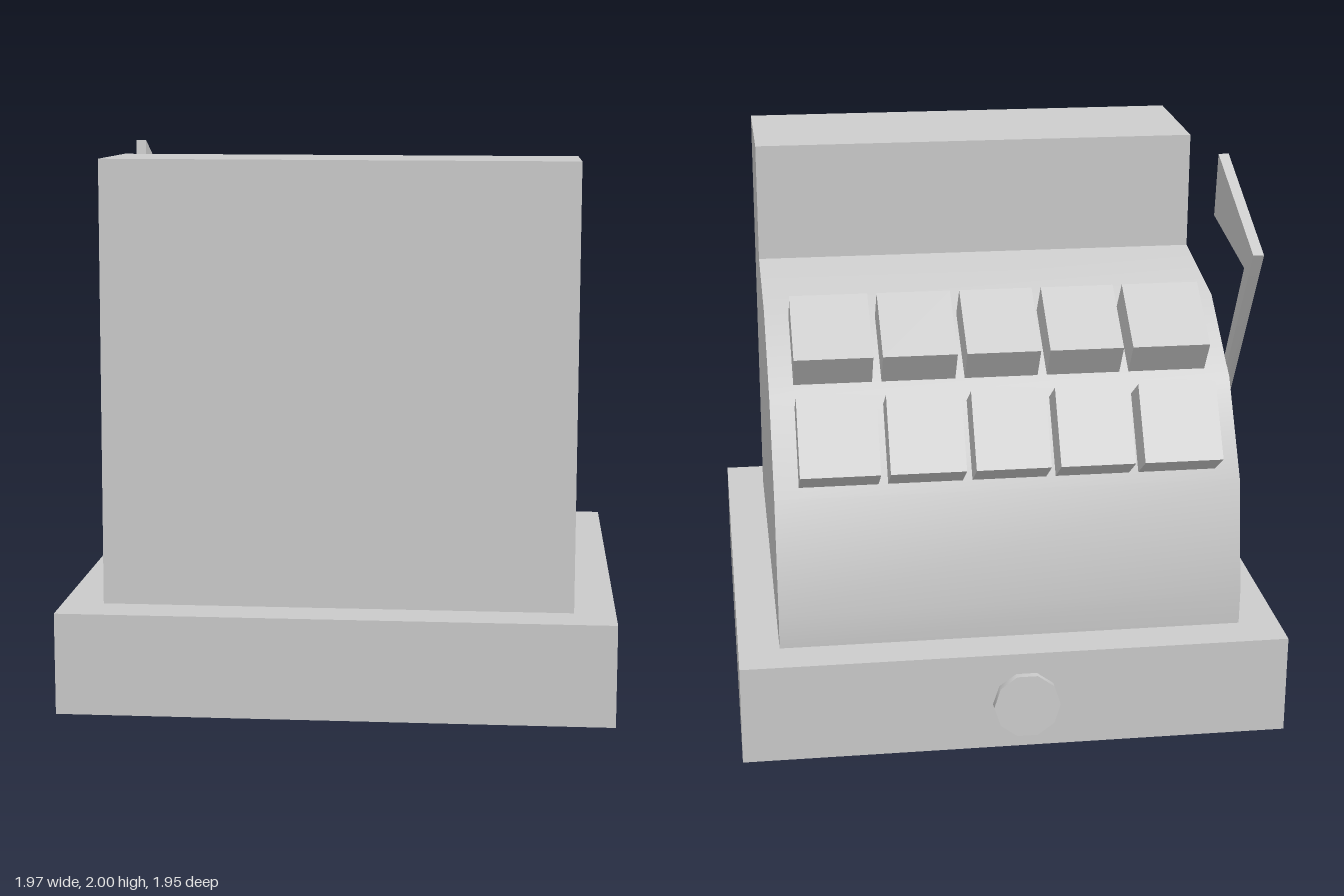
import * as THREE from 'three';
import { toCreasedNormals } from 'three/addons/utils/BufferGeometryUtils.js';

const material = new THREE.MeshStandardMaterial({ color: 0xcccccc });

// Side outline given as [z, y] points
const outline = (points) => new THREE.Shape(points.map(([z, y]) => new THREE.Vector2(-z, y)));

// Extrude a side outline across the width from x0 to x1
function slab(name, shape, x0, x1) {
  const extruded = new THREE.ExtrudeGeometry(shape, { depth: x1 - x0, bevelEnabled: false, curveSegments: 14 });
  extruded.rotateY(Math.PI / 2).translate(x0, 0, 0);
  const mesh = new THREE.Mesh(toCreasedNormals(extruded, 0.52), material);
  mesh.name = name;
  return mesh;
}

export function createModel() {
  const model = new THREE.Group();
  model.name = 'cashRegister';

  // Slightly tilted drawer base
  model.add(slab('drawerBase', outline([
    [0.965, 0.425], [0.975, 0.06], [-0.93, 0], [-0.94, 0.365],
  ]), -0.985, 0.985));

  // Body with raised display block and curved keyboard slope
  model.add(slab('body', outline([
    [0.73, 2], [0.807, 0.4], [-0.789, 0.36], [-0.797, 0.5], [-0.725, 0.91],
    [-0.52, 1.23], [-0.21, 1.455], [0.225, 1.54], [0.215, 1.98],
  ]), -0.838, 0.838));

  // Two rows of five keys
  const rows = {
    upperKey: [[-0.245, 1.43], [-0.49, 1.257], [-0.57, 1.372], [-0.335, 1.543]],
    lowerKey: [[-0.545, 1.19], [-0.705, 0.945], [-0.825, 1.022], [-0.668, 1.265]],
  };
  const columns = [[-0.75, -0.468], [-0.434, -0.167], [-0.133, 0.133], [0.167, 0.434], [0.468, 0.75]];
  for (const [name, points] of Object.entries(rows)) {
    const keys = new THREE.Group();
    keys.name = name + 'Row';
    for (const [x0, x1] of columns) keys.add(slab(name, outline(points), x0, x1));
    model.add(keys);
  }

  // Crank: wedge grip, arm and rounded pivot in one flat piece
  const crank = new THREE.Shape();
  crank.moveTo(0.79, 1.755);
  crank.lineTo(0.245, 2);
  crank.lineTo(0.21, 1.762);
  crank.lineTo(0.672, 1.68);
  crank.lineTo(0.323, 1.085);
  crank.absarc(0.245, 1.05, 0.085, 0.42, 5.73, false);
  crank.closePath();
  model.add(slab('crank', crank, -0.875, -0.837));

  // Drawer knob
  const knob = new THREE.Mesh(
    toCreasedNormals(new THREE.CylinderGeometry(0.12, 0.12, 0.05, 10), 0.8), material);
  knob.geometry.rotateY(Math.PI / 2).rotateX(Math.PI / 2 + 0.03);
  knob.position.set(-0.03, 0.173, -0.945);
  knob.name = 'drawerKnob';
  model.add(knob);

  return model;
}
